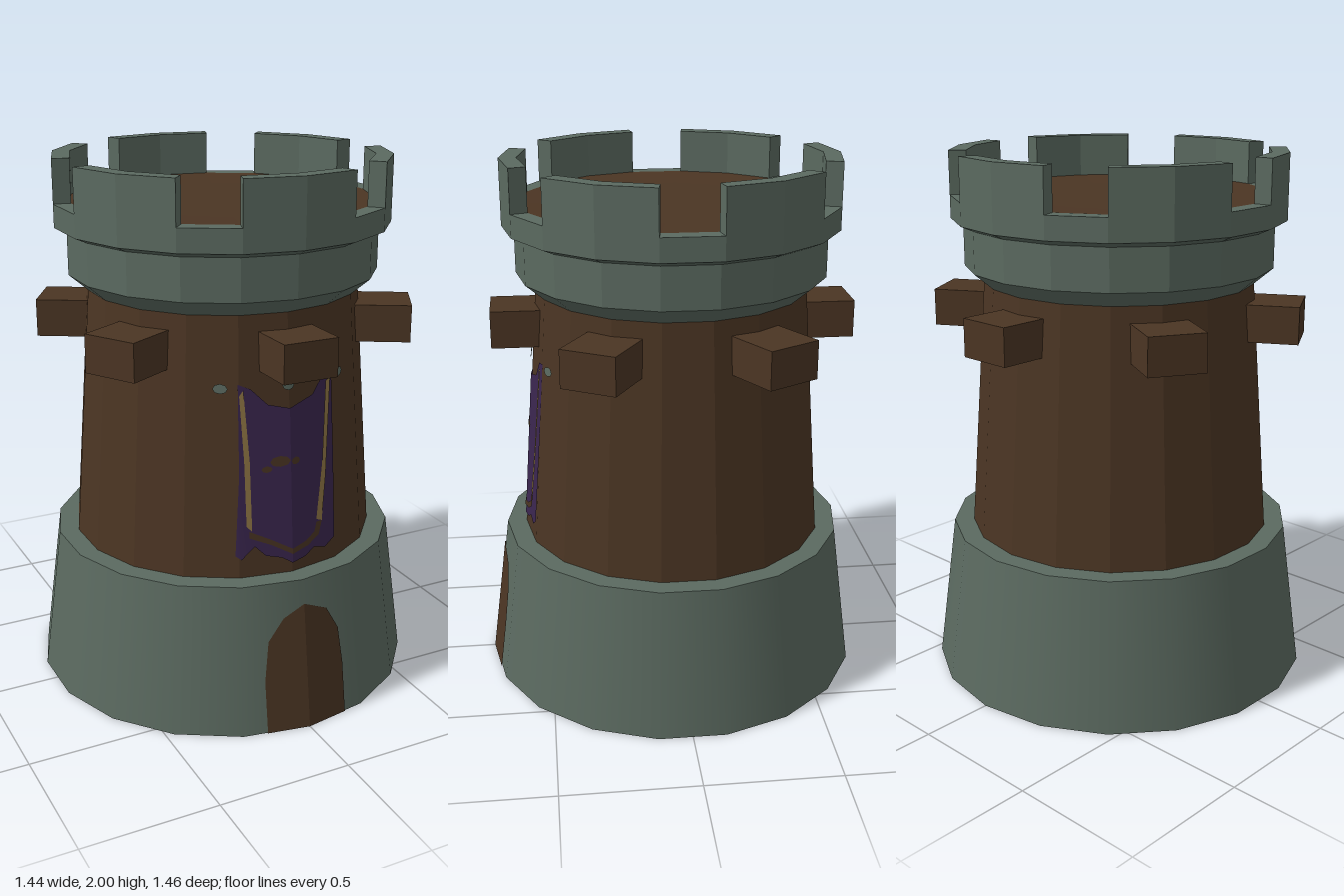
import * as THREE from 'three';

const SIDES = 18;
const STEP = (Math.PI * 2) / SIDES;

const material = (name, color) => {
  const m = new THREE.MeshStandardMaterial({ color, side: THREE.DoubleSide });
  m.name = name;
  return m;
};

export function createModel() {
  const tower = new THREE.Group();
  tower.name = 'tower';
  const stone = material('stone', 0x5b6a60);
  const wood = material('wood', 0x4b3523);
  const purple = material('purple cloth', 0x3a264f);
  const gold = material('gold trim', 0x927846);

  const add = (name, geometry, mat, parent = tower) => {
    const mesh = new THREE.Mesh(geometry, mat);
    mesh.name = name;
    parent.add(mesh);
    return mesh;
  };

  // 18-sided ring from a profile of [radius, height], flat faced unless smooth
  const turned = (name, profile, mat, smooth = false) => {
    const points = profile.map(([r, y]) => new THREE.Vector2(r, y));
    let g = new THREE.LatheGeometry(points, SIDES);
    if (!smooth) {
      g = g.toNonIndexed();
      g.computeVertexNormals();
    }
    return add(name, g, mat);
  };

  // Walls: hollow, open at the bottom
  turned('baseWall', [[0.73, 0], [0.655, 0.565]], stone, true);
  turned('baseLedge', [[0.655, 0.565], [0.58, 0.565]], stone);
  turned('towerBody', [[0.58, 0.565], [0.51, 1.52]], wood);
  turned('crown', [[0.51, 1.52], [0.58, 1.58], [0.58, 1.735], [0.625, 1.755], [0.625, 1.84], [0.56, 1.84]], stone);
  turned('roofFloor', [[0.56, 1.84], [0.36, 1.83], [0, 1.83]], wood);

  // Six merlons, each two sides wide
  const ring = [[0.625, -1], [0.625, 0], [0.625, 1], [0.56, 1], [0.56, 0], [0.56, -1]];
  const merlonShape = new THREE.Shape(ring.map(([r, k]) =>
    new THREE.Vector2(r * Math.sin(k * STEP), -r * Math.cos(k * STEP))));
  const merlonGeometry = new THREE.ExtrudeGeometry(merlonShape, { depth: 0.16, bevelEnabled: false });
  merlonGeometry.rotateX(-Math.PI / 2).translate(0, 1.84, 0);

  // Six beam ends below the crown
  for (let i = 0; i < 6; i++) {
    const angle = (i * Math.PI) / 3;
    add('merlon', merlonGeometry, stone).rotation.y = angle;

    const reach = i % 3 === 0 ? 0.68 : 0.7;
    const beam = new THREE.BoxGeometry(0.21, 0.14, reach - 0.49);
    beam.translate(0, 1.39, (reach + 0.49) / 2).rotateY(angle);
    beam.translate(i % 3 === 0 ? 0 : 0.01, 0, 0);
    add('beamEnd', beam, wood);
  }

  // Wall radius at a height, and depth of the faceted front surface
  const baseRadius = (y) => 0.73 - (0.075 * y) / 0.565;
  const bodyRadius = (y) => 0.58 - (0.07 * (y - 0.565)) / 0.955;
  const frontZ = (x, r) => {
    const edge = r * Math.sin(STEP);
    const ax = Math.abs(x);
    return ax <= edge
      ? r - ax * Math.tan(STEP / 2)
      : r * Math.cos(STEP) - (ax - edge) * Math.tan(STEP * 1.5);
  };

  // Thin painted outline laid on both faces of the front wall
  const painted = (name, outline, mat, radius, lift) => {
    const group = new THREE.Group();
    group.name = name;
    tower.add(group);
    for (const offset of [lift, -lift]) {
      const g = new THREE.ShapeGeometry(new THREE.Shape(outline.map(([x, y]) => new THREE.Vector2(x, y))));
      const p = g.attributes.position;
      for (let i = 0; i < p.count; i++) {
        p.setZ(i, frontZ(p.getX(i), radius(p.getY(i))) + offset);
      }
      g.computeVertexNormals();
      add(name + (offset > 0 ? 'Outside' : 'Inside'), g, mat, group);
    }
  };
  const dot = (x, y, rx, ry) => Array.from({ length: 8 }, (_, i) => {
    const a = (i * Math.PI) / 4;
    return [x + rx * Math.cos(a), y + ry * Math.sin(a)];
  });

  // Arched door, split along the front corner of the wall
  painted('doorLeft', [[0, 0], [0.168, 0], [0.165, 0.2], [0.15, 0.34], [0.1, 0.43], [0, 0.475]], wood, baseRadius, 0.004);
  painted('doorRight', [[0, 0], [0, 0.475], [-0.08, 0.43], [-0.14, 0.35], [-0.16, 0.2], [-0.16, 0]], wood, baseRadius, 0.004);

  // Hanging banner halves
  painted('bannerLeft', [[0, 0.6], [0.06, 0.61], [0.1, 0.635], [0.15, 0.62], [0.195, 0.65], [0.195, 0.95],
    [0.19, 1.28], [0.15, 1.275], [0.1, 1.21], [0, 1.18]], purple, bodyRadius, 0.005);
  painted('bannerRight', [[0, 0.6], [0, 1.18], [-0.08, 1.2], [-0.14, 1.26], [-0.185, 1.28], [-0.19, 0.95],
    [-0.21, 0.65], [-0.19, 0.635], [-0.14, 0.68], [-0.1, 0.64], [-0.04, 0.625]], purple, bodyRadius, 0.005);

  // Gold edging and the worn lines along the hem
  painted('goldStripeLeft', [[0.11, 0.74], [0.135, 0.73], [0.155, 0.9], [0.18, 1.26], [0.16, 1.25], [0.14, 0.95]], gold, bodyRadius, 0.008);
  painted('goldStripeRight', [[-0.17, 0.76], [-0.15, 0.74], [-0.152, 1], [-0.168, 1.26], [-0.183, 1.24], [-0.172, 1]], gold, bodyRadius, 0.008);
  painted('hemLineLeft', [[0, 0.635], [0.07, 0.65], [0.12, 0.68], [0.135, 0.73], [0.11, 0.73], [0.1, 0.695], [0.06, 0.67], [0, 0.655]], wood, bodyRadius, 0.008);
  painted('hemLineRight', [[0, 0.635], [0, 0.655], [-0.08, 0.7], [-0.16, 0.74], [-0.16, 0.715], [-0.08, 0.68]], wood, bodyRadius, 0.008);

  // Faded emblem
  painted('emblemCentre', dot(-0.04, 0.99, 0.038, 0.02), wood, bodyRadius, 0.008);
  painted('emblemRight', dot(-0.09, 0.965, 0.02, 0.012), wood, bodyRadius, 0.008);
  painted('emblemLeft', dot(0.02, 0.985, 0.018, 0.014), wood, bodyRadius, 0.008);

  // Studs that hold the banner
  for (const x of [-0.24, -0.005, 0.23]) {
    painted('stud', dot(x, 1.265, 0.023, 0.018), stone, bodyRadius, 0.009);
  }

  return tower;
}
